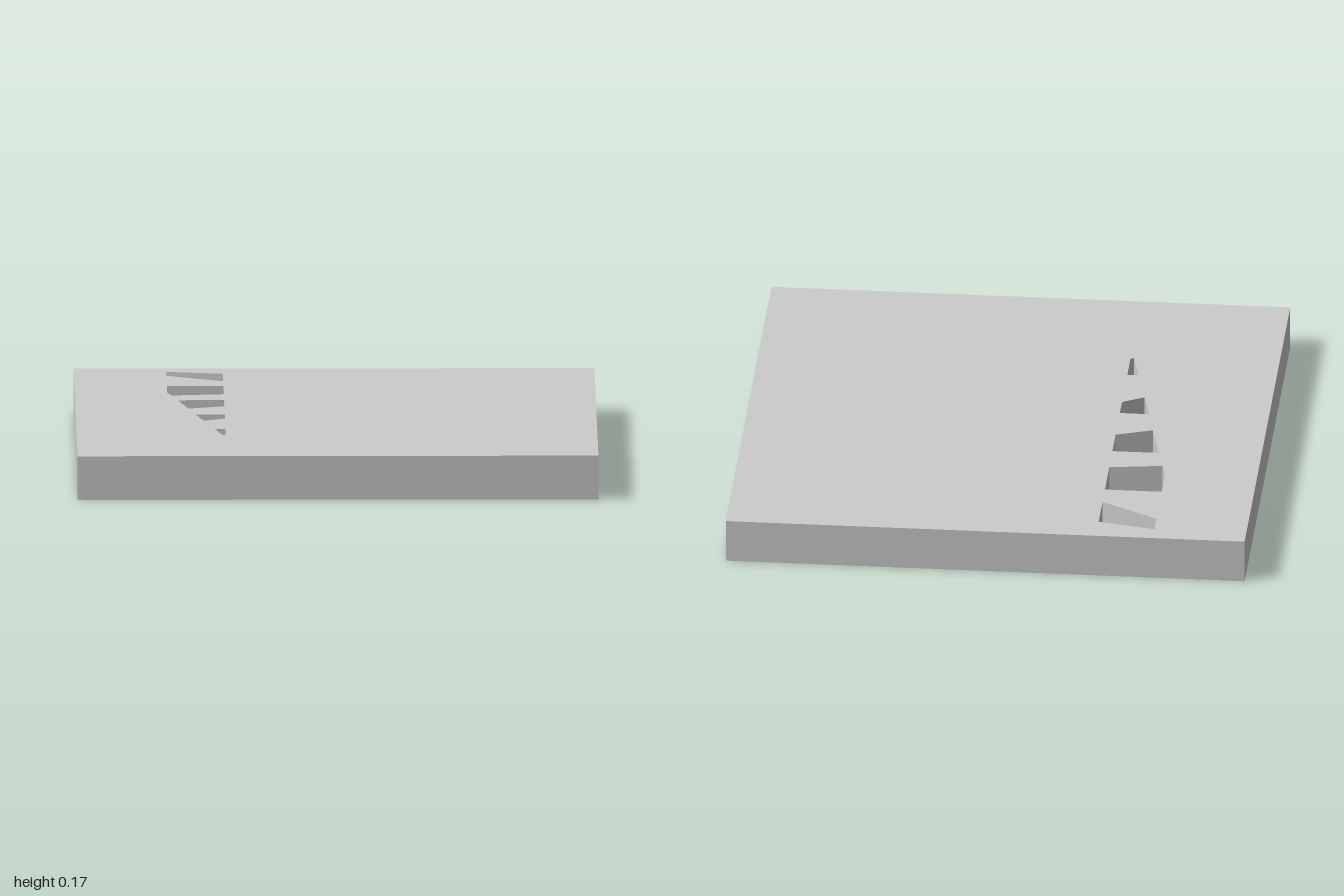
import * as THREE from 'three';

const HEIGHT = 0.17;
const FLOOR = 0.033; // material left under each pocket

// Pocket outlines as [x, z] corners, back to front
const POCKETS = [
  [[-0.645, -0.925], [-0.427, -0.88], [-0.427, -0.71], [-0.645, -0.835]],
  [[-0.645, -0.605], [-0.427, -0.605], [-0.427, -0.415], [-0.63, -0.385], [-0.645, -0.455]],
  [[-0.605, -0.277], [-0.427, -0.277], [-0.427, -0.137], [-0.567, -0.087]],
  [[-0.54, 0.048], [-0.427, 0.048], [-0.427, 0.142], [-0.51, 0.19]],
  [[-0.47, 0.375], [-0.427, 0.375], [-0.427, 0.51], [-0.44, 0.52]],
];

const toPoints = (corners) => corners.map(([x, z]) => new THREE.Vector2(x, z));

// Extrudes an x-z outline upward from y = 0
function slab(shape, height) {
  const geometry = new THREE.ExtrudeGeometry(shape, { depth: height, bevelEnabled: false });
  geometry.rotateX(Math.PI / 2);
  geometry.translate(0, height, 0);
  return geometry;
}

export function createModel() {
  const group = new THREE.Group();
  const material = new THREE.MeshStandardMaterial({ color: 0xcccccc, flatShading: true });

  const add = (name, geometry) => {
    const mesh = new THREE.Mesh(geometry, material);
    mesh.name = name;
    group.add(mesh);
  };

  // Square plate cut by the row of pockets
  const outline = new THREE.Shape(toPoints([[-1, -1], [1, -1], [1, 1], [-1, 1]]));
  outline.holes = POCKETS.map((corners) => new THREE.Path(toPoints(corners)));
  add('plate', slab(outline, HEIGHT));

  // Thin floors closing the pockets at the underside
  POCKETS.forEach((corners, i) => {
    add(`pocketFloor${i + 1}`, slab(new THREE.Shape(toPoints(corners)), FLOOR));
  });

  return group;
}
